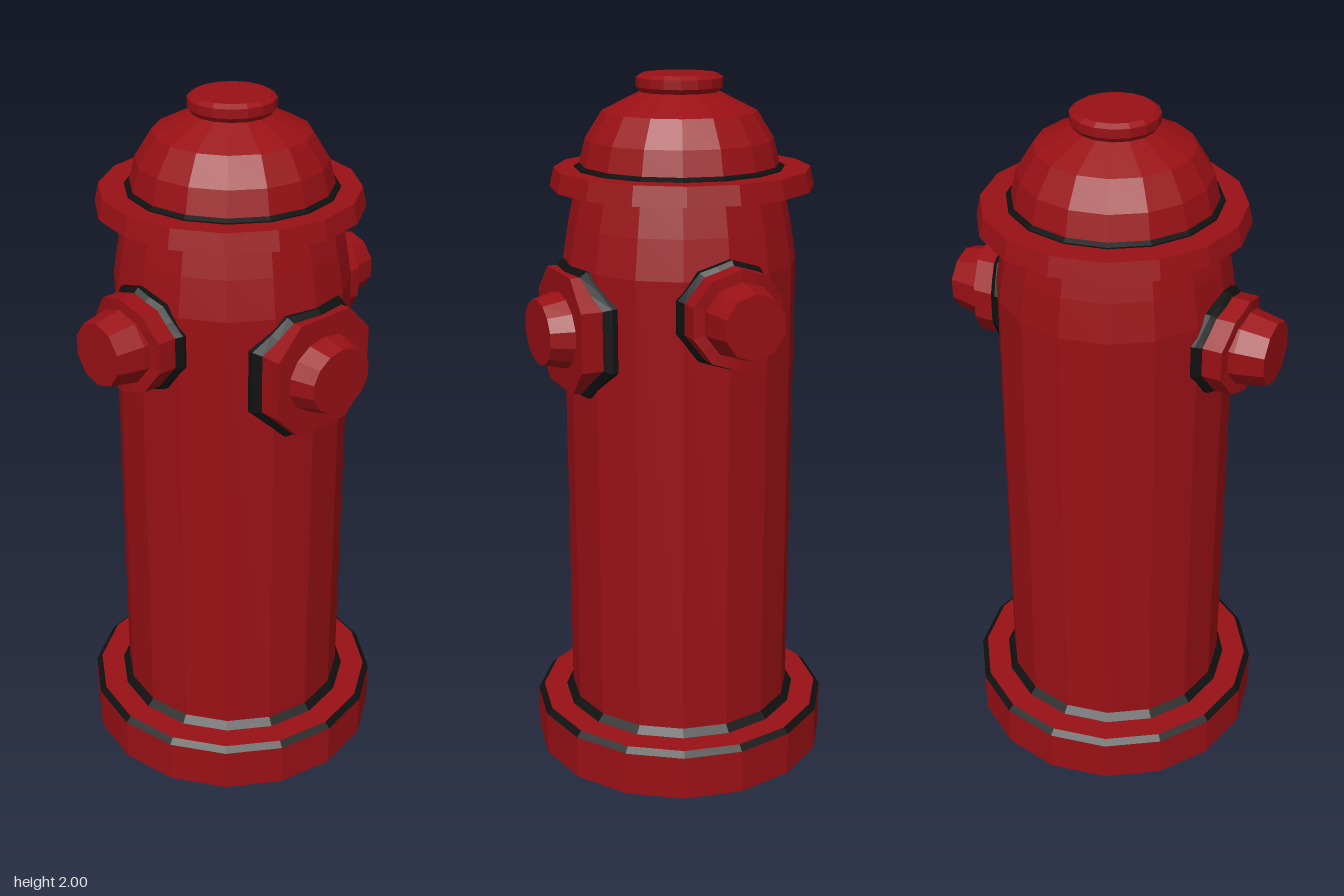
import * as THREE from 'three';

const RED = 0x991015, BLACK = 0x101010, SIDES = 16, BODY_R = 0.33;

const material = (color) =>
  new THREE.MeshStandardMaterial({ color, flatShading: true, side: THREE.DoubleSide });
const red = material(RED);
const black = material(BLACK);

function addMesh(parent, name, geometry, mat) {
  const mesh = new THREE.Mesh(geometry, mat);
  mesh.name = name;
  parent.add(mesh);
  return mesh;
}

// Faceted surface of revolution from [radius, y] pairs
function turned(parent, name, profile, mat) {
  const pts = profile.map(([r, y]) => new THREE.Vector2(r, y));
  return addMesh(parent, name, new THREE.LatheGeometry(pts, SIDES), mat);
}

// Surface through equal-length loops of points, optionally capped at the end
function skin(loops, capCentre) {
  const n = loops[0].length;
  const positions = loops.flat(2);
  const index = [];
  for (let k = 0; k < loops.length - 1; k++) {
    for (let i = 0; i < n; i++) {
      const a = k * n + i, b = k * n + (i + 1) % n;
      index.push(a, b, b + n, a, b + n, a + n);
    }
  }
  if (capCentre) {
    const last = (loops.length - 1) * n, c = loops.length * n;
    positions.push(...capCentre);
    for (let i = 0; i < n; i++) index.push(last + i, last + (i + 1) % n, c);
  }
  const g = new THREE.BufferGeometry();
  g.setAttribute('position', new THREE.Float32BufferAttribute(positions, 3));
  g.setIndex(index);
  g.computeVertexNormals();
  return g;
}

// Adds the midpoint of every edge so that loops can bend round the barrel
const subdivide = (pts) => pts.flatMap(([x, y], i) => {
  const [u, v] = pts[(i + 1) % pts.length];
  return [[x, y], [(x + u) / 2, (y + v) / 2]];
});

const onBarrel = (r) => (x) => Math.sqrt(r * r - x * x);
const flat = (z) => () => z;

// Outlet facing +z: dark seam on the barrel, mounting plate and tapered cap
function outlet(name, outline, face, faceZ, cap) {
  const group = new THREE.Group();
  group.name = name;
  const pts = subdivide(outline);
  const loop = (s, depth) => pts.map(([x, y]) => [x * s, y * s, depth(x * s)]);
  const seam = [loop(1, onBarrel(BODY_R - 0.012)), loop(1, onBarrel(BODY_R + 0.006)),
    loop(0.92, onBarrel(BODY_R + 0.018))];
  addMesh(group, 'outletSeam', skin(seam), black);
  addMesh(group, 'outletPlate', skin([seam[2], loop(0.92, face)], [0, 0, faceZ]), red);

  const ring = (rx, ry, z) => Array.from({ length: cap.sides }, (_, i) => {
    const a = Math.PI / 2 + i / cap.sides * Math.PI * 2;
    return [rx * Math.cos(a), ry * Math.sin(a), z];
  });
  addMesh(group, 'outletCap', skin([
    ring(cap.base[0], cap.base[1], faceZ - 0.02),
    ring(cap.base[0], cap.base[1], faceZ),
    ring(cap.tip[0], cap.tip[1], cap.z),
  ], [0, 0, cap.z]), red);
  return group;
}

export function createModel() {
  const model = new THREE.Group();
  model.name = 'hydrant';

  // Foot, open underneath
  turned(model, 'footSide', [[0.437, 0], [0.437, 0.13]], red);
  turned(model, 'footEdge', [[0.437, 0.13], [0.42, 0.145]], black);
  turned(model, 'footTop', [[0.42, 0.145], [0.35, 0.145]], red);
  turned(model, 'footSeam', [[0.35, 0.145], [BODY_R, 0.165]], black);

  // Barrel with tapered shoulder
  turned(model, 'barrel', [[BODY_R, 0.165], [BODY_R, 1.49], [0.312, 1.6], [0.29, 1.7]], red);

  // Flange under the bonnet
  const flange = turned(model, 'flange',
    [[0.275, 1.693], [0.37, 1.693], [0.358, 1.746], [0.285, 1.746]], red);
  flange.position.z = -0.008;

  // Domed bonnet and top cap
  turned(model, 'bonnetSeam', [[0.293, 1.744], [0.293, 1.75], [0.279, 1.757]], black);
  turned(model, 'bonnet',
    [[0.279, 1.757], [0.262, 1.825], [0.215, 1.9], [0.11, 1.952]], red);
  turned(model, 'topCap',
    [[0.11, 1.952], [0.12, 1.965], [0.12, 1.99], [0.105, 2], [0, 2]], red);

  // Large front outlet
  const octagon = [[0.185, -0.09], [0.185, 0.09], [0.098, 0.178], [-0.098, 0.178],
    [-0.185, 0.09], [-0.185, -0.09], [-0.098, -0.178], [0.098, -0.178]];
  const front = outlet('frontOutlet', octagon, flat(0.365), 0.365,
    { sides: 14, base: [0.13, 0.108], tip: [0.106, 0.092], z: 0.43 });
  front.position.y = 1.315;
  model.add(front);

  // Small outlets on both sides
  const decagon = Array.from({ length: 10 }, (_, i) => {
    const a = Math.PI / 2 + i / 10 * Math.PI * 2;
    return [0.15 * Math.cos(a), 0.15 * Math.sin(a)];
  });
  for (const side of [1, -1]) {
    const port = outlet(side > 0 ? 'leftOutlet' : 'rightOutlet', decagon, onBarrel(0.4), 0.4,
      { sides: 10, base: [0.105, 0.105], tip: [0.09, 0.09], z: 0.48 });
    port.rotation.y = side * Math.PI / 2;
    port.position.y = 1.395;
    model.add(port);
  }
  return model;
}
